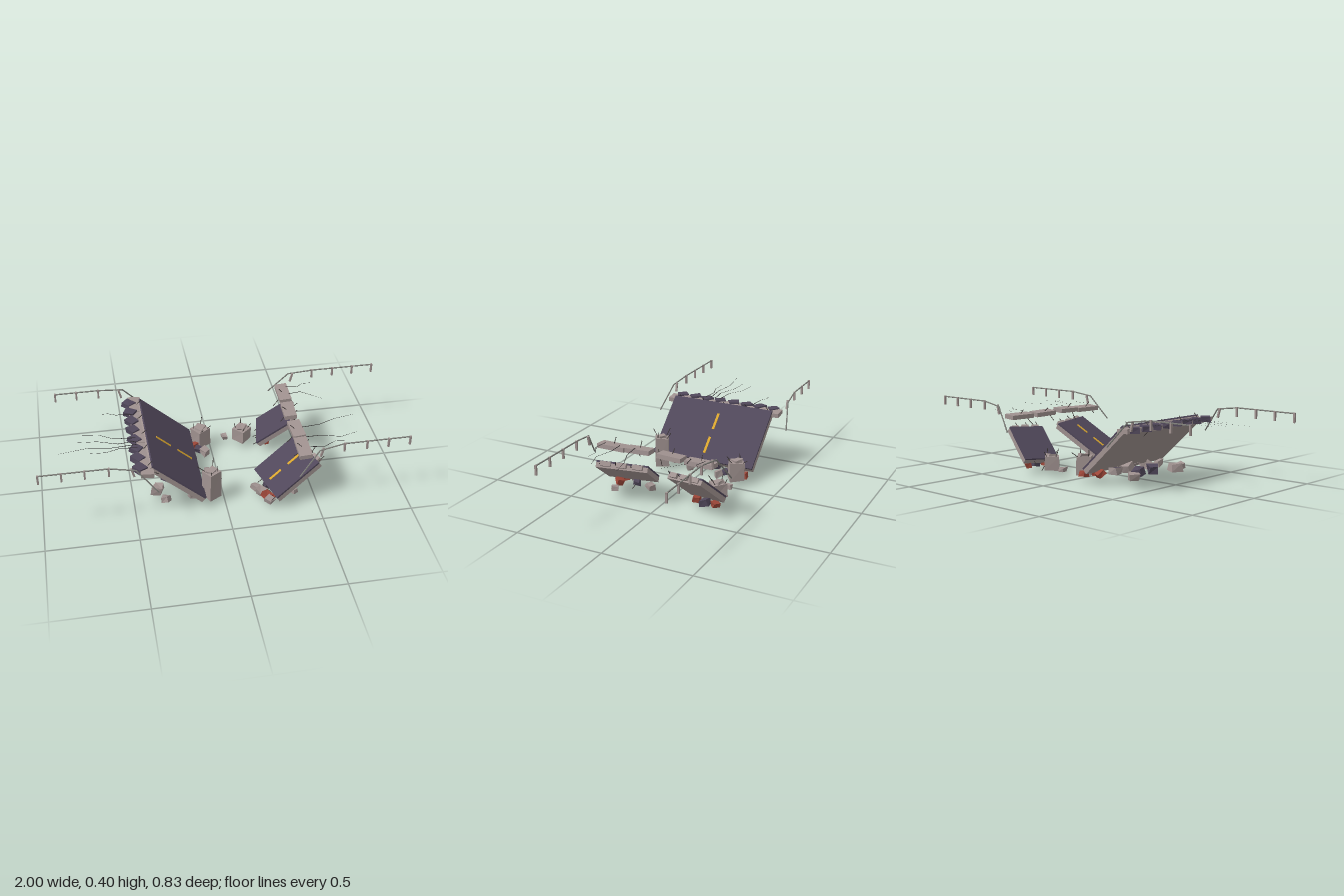
import * as THREE from 'three';

const mat = (color) => new THREE.MeshStandardMaterial({ color, flatShading: true });
const concrete = mat(0xa09290), asphalt = mat(0x50475a), brick = mat(0x9c4638);
const steel = mat(0x3a3533), yellow = mat(0xd9a52e), railGrey = mat(0x7d7d78);
const crackMat = mat(0x2a2628);
crackMat.side = THREE.DoubleSide;

let seed = 7;
const rnd = (a = 0, b = 1) => {
  seed = (seed * 16807) % 2147483647;
  return a + (b - a) * (seed / 2147483647);
};

function add(parent, name, geo, material, pos = [0, 0, 0], rot = [0, 0, 0]) {
  const m = new THREE.Mesh(geo, material);
  m.name = name;
  m.position.set(...pos);
  m.rotation.set(...rot);
  parent.add(m);
  return m;
}

const block = (parent, name, size, material, pos, rot) =>
  add(parent, name, new THREE.BoxGeometry(...size), material, pos, rot);

// Box with its corners pushed about, for broken lumps
function lump(parent, name, size, material, pos, rot, rough = 0.2) {
  const g = new THREE.BoxGeometry(...size), p = g.attributes.position, offsets = {};
  for (let i = 0; i < p.count; i++) {
    const c = [p.getX(i), p.getY(i), p.getZ(i)];
    const key = c.map(Math.sign).join();
    offsets[key] ??= size.map((s) => s * rnd(-rough, rough * 0.4));
    p.setXYZ(i, ...c.map((v, k) => v + Math.sign(v) * offsets[key][k]));
  }
  g.computeVertexNormals();
  return add(parent, name, g, material, pos, rot);
}

// Thin straight bar between two points
function bar(parent, name, a, b, r = 0.002, material = steel) {
  const from = new THREE.Vector3(...a), to = new THREE.Vector3(...b);
  const m = add(parent, name, new THREE.CylinderGeometry(r, r, from.distanceTo(to), 5), material);
  m.position.copy(from).lerp(to, 0.5);
  m.quaternion.setFromUnitVectors(new THREE.Vector3(0, 1, 0), to.sub(from).normalize());
}

// Fallen deck: local x runs along the road
function deck(root, name, length, width, pos, [roll, yaw, pitch], dashes) {
  const g = new THREE.Group();
  g.name = name;
  g.position.set(...pos);
  g.rotation.set(roll, yaw, pitch, 'YXZ');
  root.add(g);
  block(g, 'roadSurface', [length, 0.01, width], asphalt, [0, 0.015, 0]);
  block(g, 'deckSlab', [length, 0.028, width], concrete, [0, -0.004, 0]);
  for (const [x, len] of dashes) block(g, 'laneDash', [len, 0.003, 0.015], yellow, [x, 0.021, 0]);
  return g;
}

// Road-edge railing that bends down and out towards the gap
function railing(root, side, zs, outer, posts) {
  const pts = [[outer, 0.393, 0.362], [0.63, 0.393, 0.362], [0.49, 0.374, 0.376], [0.38, 0.24, 0.412]]
    .map(([x, y, z]) => [x * side, y, z * zs]);
  const g = new THREE.Group();
  g.name = 'guardRail';
  root.add(g);
  for (let i = 0; i < 3; i++) bar(g, 'railBar', pts[i], pts[i + 1], 0.004, railGrey);
  for (const x of posts) block(g, 'railPost', [0.01, 0.054, 0.011], concrete, [x * side, 0.37, 0.362 * zs]);
  block(g, 'bentPost', [0.01, 0.055, 0.011], concrete, [0.507 * side, 0.354, 0.365 * zs], [0, 0, -0.25 * side]);
}

// Flat jagged crack in the road level
function crack(root, pts) {
  const v = [], idx = [];
  pts.forEach(([x, z], i) => {
    const w = 0.003 * (1 - i / pts.length);
    v.push(x, 0.34, z - w, x, 0.34, z + w);
    if (i) idx.push(2 * i - 2, 2 * i - 1, 2 * i, 2 * i, 2 * i - 1, 2 * i + 1);
  });
  const g = new THREE.BufferGeometry();
  g.setAttribute('position', new THREE.Float32BufferAttribute(v, 3));
  g.setIndex(idx);
  g.computeVertexNormals();
  add(root, 'roadCrack', g, crackMat);
}

// Snapped column with bent bars on top
function pillar(root, x, z, w, top, yaw) {
  const g = new THREE.Group();
  g.name = 'brokenPillar';
  g.position.set(x, 0.03, z);
  g.rotation.y = yaw;
  root.add(g);
  const h = top - 0.03;
  lump(g, 'pillarShaft', [w, h, w], concrete, [0, h / 2, 0], [0, 0, 0], 0.05);
  lump(g, 'pillarCap', [w * 0.7, 0.02, w * 0.6], concrete, [0, h, 0], [0.1, 0.4, 0.1]);
  for (const sx of [-1, 1]) for (const sz of [-1, 1])
    bar(g, 'rebar', [sx * w * 0.3, h - 0.01, sz * w * 0.3],
      [sx * w * rnd(0.2, 0.8), h + rnd(0.02, 0.04), sz * w * rnd(0.2, 0.7)]);
}

export function createModel() {
  const root = new THREE.Group();
  root.name = 'collapsedBridge';

  // Fallen deck sections
  const main = deck(root, 'leftDeck', 0.385, 0.63, [-0.268, 0.198, 0], [0, 0, -0.738], [[-0.065, 0.107], [0.094, 0.107]]);
  const back = deck(root, 'rightRearDeck', 0.25, 0.22, [0.382, 0.148, -0.215], [0.07, -0.2, 0.7], []);
  const front = deck(root, 'rightFrontDeck', 0.3, 0.285, [0.36, 0.148, 0.215], [-0.035, 0.245, 0.57], [[-0.075, 0.08], [0.055, 0.08]]);
  block(main, 'brokenEnd', [0.03, 0.028, 0.19], concrete, [0.19, -0.006, 0.015]);
  for (const [g, half, w] of [[back, 0.125, 0.22], [front, 0.15, 0.285]])
    for (let i = -1; i <= 1; i++) {
      block(g, 'brokenEnd', [rnd(0.025, 0.04), 0.026, w * 0.2], concrete,
        [half, 0.003, i * w * 0.31], [0, rnd(-0.12, 0.12), 0]);
      bar(g, 'rebar', [half, 0, (i + 0.4) * w * 0.3], [half + 0.045, rnd(-0.005, 0.02), (i + 0.3) * w * 0.3]);
      bar(g, 'rebar', [-half, 0, (i + 0.3) * w * 0.3], [-half - 0.03, rnd(-0.01, 0.02), (i + 0.4) * w * 0.3]);
    }

  // Broken ledges where the road stops: [centre z, length]
  const ledges = [
    [-1, [[-0.28, 0.145], [-0.145, 0.125], [0.0, 0.16], [0.14, 0.14], [0.285, 0.15]]],
    [1, [[-0.266, 0.16], [-0.09, 0.142], [0.1, 0.143], [0.26, 0.165]]],
  ];
  for (const [side, list] of ledges)
    for (const [z, len] of list) {
      const x = side * 0.435 + rnd(-0.006, 0.006);
      block(root, 'roadLedge', [0.07, 0.025, len], concrete, [x, rnd(0.313, 0.32), z], [rnd(-0.03, 0.03), rnd(-0.05, 0.05), side * 0.08]);
      bar(root, 'rebar', [x, 0.315, z], [x - side * rnd(0.02, 0.04), rnd(0.345, 0.36), z + rnd(-0.01, 0.01)]);
      bar(root, 'rebar', [x - side * 0.02, 0.31, z + 0.03], [x - side * rnd(0.05, 0.07), rnd(0.26, 0.29), z + rnd(0.02, 0.05)]);
    }

  // Torn paving along the left ledge
  for (let i = 0; i < 8; i++)
    lump(root, 'tornPaving', [0.055, 0.03, 0.065], asphalt,
      [-0.465, 0.324, -0.295 + i * 0.085], [0, 0.78 + rnd(-0.25, 0.25), 0], 0.1);

  // Railings
  const posts = [0.63, 0.755, 0.875];
  railing(root, -1, 1, 1, [...posts, 0.995]);
  railing(root, -1, -1, 0.88, posts);
  for (const zs of [-1, 1]) railing(root, 1, zs, 1, [...posts, 0.995]);

  // Road cracks
  [
    [[-0.46, -0.17], [-0.55, -0.18], [-0.59, -0.2], [-0.63, -0.2]],
    [[-0.46, 0.05], [-0.58, 0.04], [-0.66, -0.01], [-0.77, -0.025]],
    [[-0.46, 0.08], [-0.56, 0.09], [-0.67, 0.05], [-0.8, 0.04]],
    [[-0.46, 0.11], [-0.6, 0.12], [-0.72, 0.1], [-0.88, 0.125]],
    [[-0.46, 0.14], [-0.55, 0.13], [-0.63, 0.155], [-0.72, 0.15]],
    [[0.46, -0.3], [0.52, -0.28], [0.56, -0.31], [0.61, -0.31]],
    [[0.46, -0.22], [0.53, -0.23], [0.58, -0.19], [0.64, -0.14]],
    [[0.46, 0.11], [0.56, 0.1], [0.66, 0.06], [0.77, 0.04]],
    [[0.46, 0.2], [0.55, 0.2], [0.65, 0.23], [0.75, 0.2]],
    [[0.46, 0.29], [0.54, 0.3], [0.61, 0.26], [0.7, 0.27]],
  ].forEach((p) => crack(root, p));

  // Pillars
  pillar(root, -0.07, 0.235, 0.08, 0.2, 0.5);
  pillar(root, -0.06, -0.245, 0.085, 0.14, 0.6);
  pillar(root, 0.19, -0.25, 0.08, 0.11, 0.75);

  // Rubble: [x, z, size, material]
  const C = concrete, A = asphalt, B = brick;
  [
    [-0.38, -0.2, 0.055, C], [-0.36, 0.16, 0.06, C], [-0.3, 0.05, 0.055, A], [-0.31, -0.08, 0.06, A],
    [-0.33, 0.25, 0.045, C], [-0.2, -0.15, 0.055, C], [-0.22, 0.12, 0.055, C], [-0.18, 0.24, 0.045, C],
    [-0.17, -0.02, 0.055, C], [-0.14, -0.08, 0.045, A], [-0.16, -0.23, 0.045, B],
    [-0.1, -0.2, 0.045, B], [-0.09, -0.28, 0.04, B], [-0.05, -0.14, 0.045, C], [-0.08, -0.17, 0.04, A],
    [-0.055, 0.045, 0.04, C], [0.09, -0.265, 0.035, C], [-0.12, 0.17, 0.04, C],
    [0.18, 0.225, 0.04, C], [0.2, 0.27, 0.045, C], [0.225, 0.31, 0.045, B], [0.235, 0.35, 0.04, C],
    [0.25, 0.22, 0.04, A], [0.29, 0.31, 0.045, B],
    [0.38, 0.29, 0.035, C], [0.28, 0.12, 0.04, C], [0.32, -0.18, 0.04, B], [0.33, -0.3, 0.04, B],
    [0.34, -0.24, 0.045, A],
  ].forEach(([x, z, s, m]) => lump(root, 'rubble', [s * 1.2, s * 0.8, s], m,
    [x, 0.03 + s * 0.45, z], [rnd(-0.4, 0.4), rnd(0, 3), rnd(-0.4, 0.4)]));

  // Loose bars in the rubble
  bar(root, 'looseRebar', [0.22, 0.05, 0.22], [0.27, 0.002, 0.245]);
  bar(root, 'looseRebar', [0.27, 0.05, -0.22], [0.29, 0.01, -0.235]);
  bar(root, 'looseRebar', [-0.02, 0.04, 0.21], [-0.015, 0.14, 0.23]);
  return root;
}
